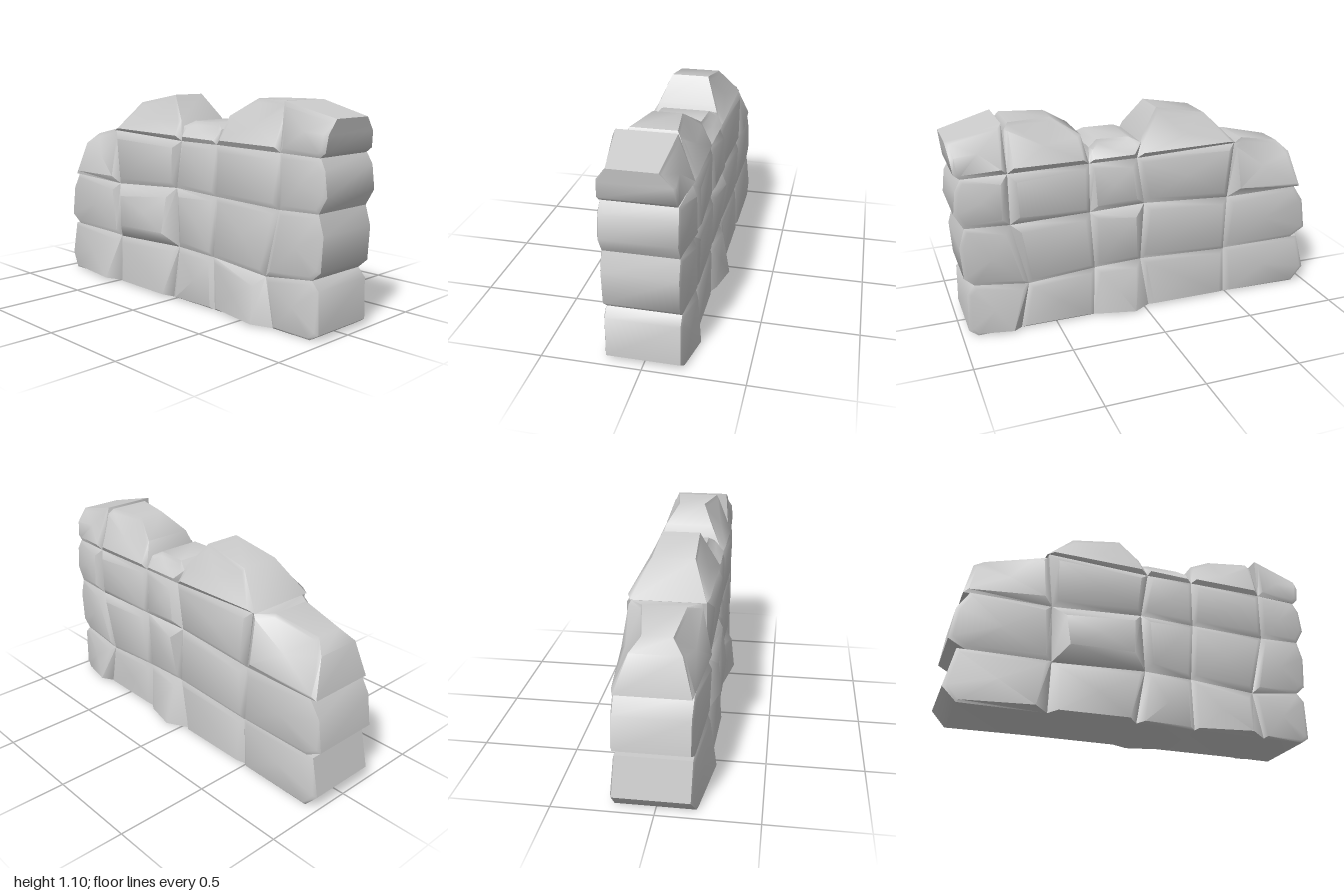
import * as THREE from 'three';
import { toCreasedNormals } from 'three/addons/utils/BufferGeometryUtils.js';

const JOINT = 0.185;   // depth at which neighbouring stones meet

// Every stone is an outline, counter-clockwise from the front;
// each corner is [x, y, front depth, back depth].
const bottomRow = [
  [[-0.93, 0, 0.2, 0.21], [-0.49, 0, 0.25, 0.21], [-0.48, 0.28, 0.21, 0.2], [-0.95, 0.28, 0.185, 0.2], [-1, 0.08, 0.18, 0.21]],
  [[-0.49, 0, 0.22, 0.21], [-0.03, 0, 0.23, 0.21], [0.02, 0.29, 0.205, 0.2], [-0.48, 0.27, 0.21, 0.2]],
  [[-0.03, 0, 0.21, 0.26], [0.29, 0, 0.2, 0.22], [0.28, 0.28, 0.2, 0.205], [0.02, 0.29, 0.205, 0.215]],
  [[0.29, 0, 0.2, 0.2], [0.69, 0, 0.25, 0.2], [0.64, 0.25, 0.23, 0.2], [0.28, 0.28, 0.2, 0.2]],
  [[0.69, 0, 0.2, 0.235], [0.92, 0, 0.195, 0.2], [0.965, 0.03, 0.19, 0.19], [0.96, 0.24, 0.19, 0.19], [0.92, 0.285, 0.19, 0.19], [0.64, 0.25, 0.2, 0.205]],
];
const secondRow = [
  [[-0.91, 0.28, 0.185, 0.2], [-0.48, 0.27, 0.205, 0.2], [-0.49, 0.58, 0.215, 0.21], [-0.91, 0.59, 0.185, 0.2], [-0.97, 0.5, 0.18, 0.2], [-0.995, 0.33, 0.18, 0.2]],
  [[-0.48, 0.27, 0.255, 0.2], [0.02, 0.29, 0.25, 0.2], [0, 0.61, 0.225, 0.21], [-0.49, 0.58, 0.24, 0.21]],
  [[0.02, 0.29, 0.215, 0.2], [0.28, 0.28, 0.2, 0.2], [0.3, 0.6, 0.2, 0.21], [0, 0.61, 0.215, 0.23]],
  [[0.28, 0.28, 0.2, 0.2], [0.64, 0.25, 0.205, 0.2], [0.72, 0.59, 0.2, 0.215], [0.3, 0.6, 0.2, 0.21]],
  [[0.64, 0.25, 0.205, 0.2], [0.92, 0.285, 0.19, 0.19], [0.97, 0.33, 0.19, 0.19], [0.98, 0.5, 0.19, 0.19], [0.95, 0.6, 0.19, 0.19], [0.72, 0.59, 0.2, 0.215]],
];
const thirdRow = [
  [[-0.945, 0.59, 0.18, 0.2], [-0.49, 0.58, 0.215, 0.23], [-0.52, 0.88, 0.17, 0.19], [-0.6, 0.89, 0.11, 0.12], [-0.84, 0.84, 0.08, 0.08], [-0.9, 0.78, 0.13, 0.13]],
  [[-0.49, 0.58, 0.205, 0.21], [0, 0.61, 0.205, 0.21], [0.04, 0.865, 0.215, 0.2], [-0.52, 0.89, 0.22, 0.21]],
  [[0, 0.61, 0.2, 0.22], [0.3, 0.6, 0.2, 0.21], [0.3, 0.865, 0.2, 0.2], [0.04, 0.865, 0.205, 0.215]],
  [[0.3, 0.6, 0.2, 0.2], [0.72, 0.59, 0.205, 0.22], [0.72, 0.86, 0.21, 0.215], [0.3, 0.865, 0.21, 0.2]],
  [[0.72, 0.59, 0.2, 0.22], [0.95, 0.6, 0.19, 0.19], [0.995, 0.68, 0.19, 0.19], [0.98, 0.8, 0.19, 0.19], [0.95, 0.855, 0.185, 0.185], [0.72, 0.86, 0.2, 0.215]],
];
const capRow = [
  [[-0.53, 0.885, 0.2, 0.2], [0.04, 0.865, 0.2, 0.2], [0, 0.97, 0.16, 0.16], [-0.1, 1.1, 0.11, 0.1], [-0.37, 1.05, 0.12, 0.11]],
  [[0.04, 0.865, 0.2, 0.2], [0.3, 0.865, 0.195, 0.195], [0.29, 0.94, 0.15, 0.16], [0.24, 0.97, 0.12, 0.13], [0.07, 0.97, 0.12, 0.14], [0.01, 0.94, 0.15, 0.17]],
  [[0.3, 0.865, 0.2, 0.2], [0.72, 0.86, 0.2, 0.205], [0.715, 1.07, 0.13, 0.14], [0.69, 1.1, 0.12, 0.12], [0.47, 1.1, 0.07, 0.09], [0.33, 1.01, 0.13, 0.15]],
  [[0.72, 0.86, 0.2, 0.205], [0.95, 0.855, 0.19, 0.18], [0.98, 0.88, 0.19, 0.18], [0.99, 0.96, 0.185, 0.17], [1, 1.03, 0.14, 0.11], [0.725, 1.1, 0.175, 0.13]],
];

// Face ring and rim ring for one side (sign 1 is front, -1 is back).
// Exposed edges are barely worn; joint edges slope down to the joint.
function sideRings(outline, sign) {
  const n = outline.length;
  const normal = (a, b) => new THREE.Vector2(a[1] - b[1], b[0] - a[0]).normalize();
  const face = [], rim = [];
  outline.forEach((p, i) => {
    const [x, y] = p;
    const z = sign > 0 ? p[2] : p[3];
    const exposed = Math.abs(x) > 0.88 || z < 0.18;
    const drop = exposed ? 0.008 : Math.max(0.01, z - JOINT);
    const n1 = normal(outline[(i + n - 1) % n], p);
    const n2 = normal(p, outline[(i + 1) % n]);
    const k = (exposed ? 0.02 : 0.01 + drop) / Math.max(0.5, 1 + n1.dot(n2));
    // The foot of the wall stays sharp
    const faceY = y < 0.01 ? 0.012 : y + (n1.y + n2.y) * k;
    face.push([x + (n1.x + n2.x) * k, faceY, sign * z]);
    rim.push([x, y, sign * (z - drop)]);
  });
  return { face, rim };
}

// Centre of a ring, weighted by edge length
function centre(ring) {
  const sum = new THREE.Vector3();
  let total = 0;
  ring.forEach((p, i) => {
    const a = new THREE.Vector3(...p);
    const b = new THREE.Vector3(...ring[(i + 1) % ring.length]);
    const length = a.distanceTo(b);
    sum.addScaledVector(a.add(b), length / 2);
    total += length;
  });
  return sum.divideScalar(total).toArray();
}

function stoneGeometry(outline) {
  const n = outline.length;
  const front = sideRings(outline, 1);
  const back = sideRings(outline, -1);
  const points = [
    ...front.face, ...front.rim, ...back.rim, ...back.face,
    centre(front.face), centre(back.face),
  ];
  const index = [];
  for (let i = 0; i < n; i++) {
    const j = (i + 1) % n;
    index.push(4 * n, i, j, 4 * n + 1, 3 * n + j, 3 * n + i);
    for (let r = 0; r < 3; r++) {
      const a = r * n, b = a + n;
      index.push(a + i, b + i, b + j, a + i, b + j, a + j);
    }
  }
  const geometry = new THREE.BufferGeometry();
  geometry.setAttribute('position', new THREE.Float32BufferAttribute(points.flat(), 3));
  geometry.setIndex(index);
  return toCreasedNormals(geometry, 0.87);
}

export function createModel() {
  const wall = new THREE.Group();
  wall.name = 'stoneWall';
  const stone = new THREE.MeshStandardMaterial({ color: 0xcccccc });
  const courses = { bottomCourse: bottomRow, secondCourse: secondRow, thirdCourse: thirdRow, capCourse: capRow };
  for (const [name, row] of Object.entries(courses)) {
    const course = new THREE.Group();
    course.name = name;
    row.forEach((outline, i) => {
      const mesh = new THREE.Mesh(stoneGeometry(outline), stone);
      mesh.name = `${name}Stone${i + 1}`;
      course.add(mesh);
    });
    wall.add(course);
  }
  return wall;
}
